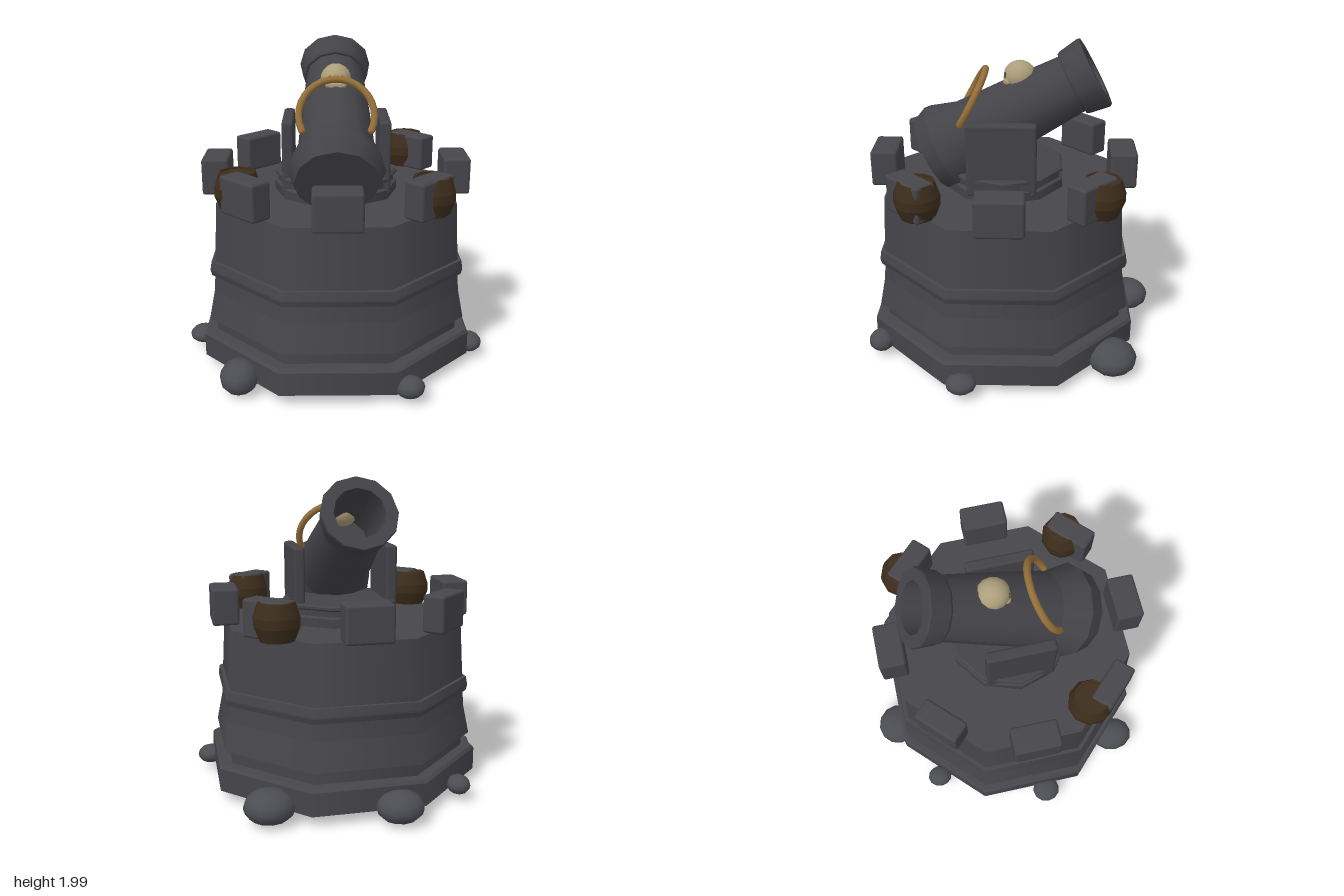
import * as THREE from 'three';
import { mergeGeometries } from 'three/addons/utils/BufferGeometryUtils.js';
import { RoundedBoxGeometry } from 'three/addons/geometries/RoundedBoxGeometry.js';

const mat = (name, color) => {
  const m = new THREE.MeshStandardMaterial({ color });
  m.name = name;
  return m;
};

// Turned shape: smooth around the axis, sharp at every profile point [radius, y]
function turned(profile, sides, phase = 0) {
  const bands = [];
  for (let i = 0; i < profile.length - 1; i++) {
    const pts = [profile[i], profile[i + 1]].map(([r, y]) => new THREE.Vector2(r, y));
    bands.push(new THREE.LatheGeometry(pts, sides, phase));
  }
  return mergeGeometries(bands);
}

export function createModel() {
  const model = new THREE.Group();
  model.name = 'cannonTower';

  const stone = mat('stone', 0x46464b);
  const iron = mat('iron', 0x434348);
  const rock = mat('rock', 0x4c4d52);
  const wood = mat('darkWood', 0x3d2d1b);
  const bone = mat('bone', 0xad9f7b);
  const socket = mat('socket', 0x5c523b);
  const rope = mat('rope', 0x96703a);

  function add(parent, name, geometry, material, x = 0, y = 0, z = 0) {
    const mesh = new THREE.Mesh(geometry, material);
    mesh.name = name;
    mesh.position.set(x, y, z);
    parent.add(mesh);
    return mesh;
  }

  // Everything round the tower axis lives in this group
  const tower = new THREE.Group();
  tower.name = 'tower';
  tower.position.set(0.005, 0, 0.063);
  model.add(tower);

  // Octagonal tower, profile given by the distance to the flat sides
  const octagon = (profile) =>
    turned(profile.map(([a, y]) => [a / Math.cos(Math.PI / 8), y]), 8, Math.PI / 8);
  add(tower, 'plinth', octagon([[0, 0.08], [0.83, 0.08], [0.83, 0.225], [0.815, 0.243], [0, 0.243]]), stone);
  add(tower, 'footing', octagon([[0.75, 0.23], [0.75, 0.34]]), stone);
  add(tower, 'wall', octagon([[0, 0.33], [0.795, 0.33], [0.76, 0.51], [0.75, 0.64], [0.748, 0.71], [0.727, 1.08], [0, 1.08]]), stone);
  add(tower, 'beltCourse', octagon([[0.74, 0.618], [0.77, 0.618], [0.778, 0.65], [0.778, 0.66], [0.77, 0.71], [0.74, 0.71]]), stone);

  // Battlements on each of the eight sides
  for (let i = 0; i < 8; i++) {
    const a = (i * Math.PI) / 4;
    const size = i % 2 ? [0.295, 0.14] : [0.288, 0.168];
    const block = add(tower, 'battlement', new RoundedBoxGeometry(size[0], 0.23, size[1], 2, 0.018), stone,
      Math.sin(a) * 0.748, 1.195, Math.cos(a) * 0.748);
    block.rotation.y = a;
  }

  // Turntable with a shallow lip
  add(tower, 'turntable', turned([[0.385, 1.07], [0.385, 1.135], [0.365, 1.145], [0.365, 1.18],
    [0.385, 1.19], [0.385, 1.205], [0.37, 1.215], [0, 1.215]], 10, Math.PI / 2), iron);

  // Carriage cheeks
  for (const side of [-1, 1]) {
    add(tower, 'carriageCheek', new RoundedBoxGeometry(0.07, 0.46, 0.425, 2, 0.018), iron, side * 0.295, 1.33, 0.008);
  }

  // Cannon, its axis starting at the muzzle
  const cannon = new THREE.Group();
  cannon.name = 'cannon';
  cannon.position.set(0.005, 1.795, -0.493);
  cannon.rotation.x = THREE.MathUtils.degToRad(-61.4);
  model.add(cannon);
  add(cannon, 'cannonBarrel', turned([[0, -1.14], [0.25, -1.14], [0.292, -1.04], [0.235, -0.87],
    [0.218, -0.545], [0.188, -0.14]], 12), iron);
  add(cannon, 'muzzle', turned([[0.18, -0.155], [0.203, -0.155], [0.213, -0.14], [0.233, -0.012],
    [0.228, 0], [0.155, 0], [0.15, -0.45], [0, -0.45]], 12), iron);

  // Skull resting on the barrel
  const skull = new THREE.Group();
  skull.name = 'skull';
  skull.position.set(0.005, 1.768, -0.033);
  model.add(skull);
  add(skull, 'cranium', new THREE.SphereGeometry(1, 14, 10), bone).scale.set(0.095, 0.093, 0.1);
  add(skull, 'upperJaw', new RoundedBoxGeometry(0.085, 0.06, 0.06, 2, 0.015), bone, 0, -0.04, 0.07);
  for (const side of [-1, 1]) {
    add(skull, 'cheekbone', new THREE.SphereGeometry(0.026, 8, 6), bone, side * 0.042, -0.028, 0.072);
    add(skull, 'eyeSocket', new THREE.SphereGeometry(1, 8, 6), socket, side * 0.034, 0.012, 0.086)
      .scale.set(0.02, 0.02, 0.009);
  }

  // Rope loop over the breech, with rounded ends
  const loop = new THREE.Group();
  loop.name = 'ropeLoop';
  loop.position.set(0.005, 1.6, 0.28);
  loop.rotation.x = THREE.MathUtils.degToRad(-27.6);
  model.add(loop);
  const dip = 0.42;
  add(loop, 'rope', new THREE.TorusGeometry(0.225, 0.022, 7, 20, Math.PI + 2 * dip), rope).rotation.z = -dip;
  for (const side of [-1, 1]) {
    add(loop, 'ropeEnd', new THREE.SphereGeometry(0.022, 8, 6), rope,
      side * 0.225 * Math.cos(dip), -0.225 * Math.sin(dip), 0);
  }

  // Casks between the battlements
  const caskShape = turned([[0, 1.08], [0.105, 1.08], [0.138, 1.165], [0.138, 1.22], [0.11, 1.305],
    [0.095, 1.305], [0.095, 1.295], [0, 1.295]], 10);
  for (const [x, z] of [[0.5, -0.525], [-0.58, 0.445], [0.555, 0.55]]) {
    add(model, 'cask', caskShape, wood, x, 0, z);
  }

  // Boulders round the foot: x, y, z, then the three radii
  const boulderShape = new THREE.SphereGeometry(1, 12, 8);
  const boulders = [
    [-0.17, 0.112, -0.8, 0.145, 0.095, 0.138],
    [0.575, 0.112, -0.63, 0.158, 0.102, 0.155],
    [-0.615, 0.11, -0.57, 0.073, 0.06, 0.083],
    [-0.87, 0.105, 0.16, 0.088, 0.053, 0.093],
    [0.86, 0.108, 0.3, 0.085, 0.058, 0.095],
    [-0.58, 0.112, 0.725, 0.118, 0.1, 0.142],
    [0.428, 0.108, 0.85, 0.09, 0.066, 0.083],
  ];
  for (const [x, y, z, rx, ry, rz] of boulders) {
    add(model, 'boulder', boulderShape, rock, x, y, z).scale.set(rx, ry, rz);
  }

  return model;
}
